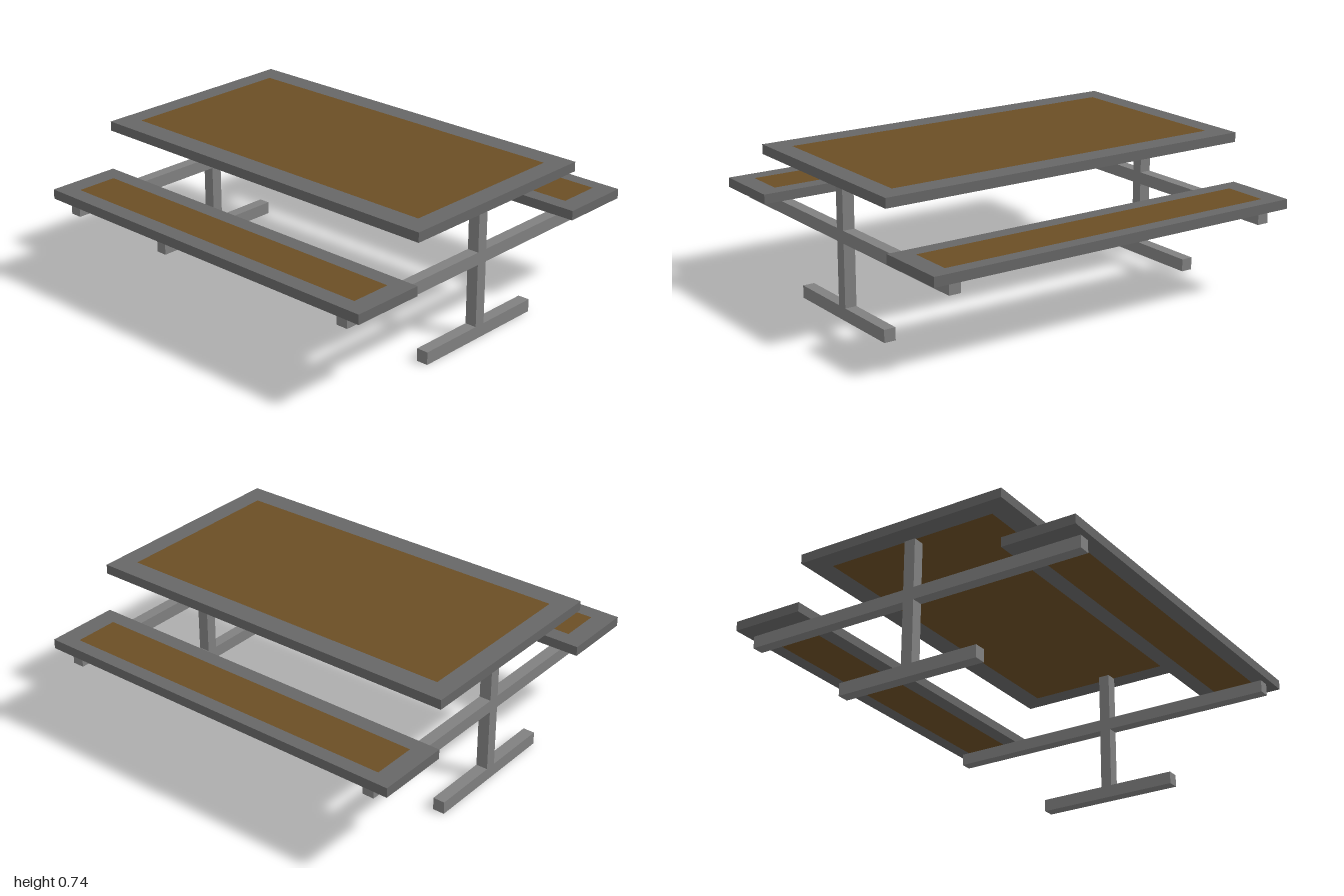
import * as THREE from 'three';

const frameMat = new THREE.MeshStandardMaterial({ color: 0x666666 });
const legMat = new THREE.MeshStandardMaterial({ color: 0x808080 });
const woodMat = new THREE.MeshStandardMaterial({ color: 0x6b4e25 });

// Box given by its min and max corners
function box(name, mat, [x0, y0, z0], [x1, y1, z1]) {
  const mesh = new THREE.Mesh(new THREE.BoxGeometry(x1 - x0, y1 - y0, z1 - z0), mat);
  mesh.position.set((x0 + x1) / 2, (y0 + y1) / 2, (z0 + z1) / 2);
  mesh.name = name;
  return mesh;
}

// Rectangle outline; z maps to -y before the extrusion is laid flat
function rect(Type, hx, z0, z1) {
  return new Type([[-hx, -z1], [hx, -z1], [hx, -z0], [-hx, -z0]].map(([x, y]) => new THREE.Vector2(x, y)));
}

// Flat slab: a rectangular frame with a flush wooden panel in its opening
function slab(name, bottom, top, [z0, z1], [p0, p1]) {
  const group = new THREE.Group();
  group.name = name;
  const shape = rect(THREE.Shape, 1, z0, z1);
  shape.holes.push(rect(THREE.Path, 0.9, p0, p1));
  const geometry = new THREE.ExtrudeGeometry(shape, { depth: top - bottom, bevelEnabled: false });
  geometry.rotateX(-Math.PI / 2).translate(0, bottom, 0);
  const frame = new THREE.Mesh(geometry, frameMat);
  frame.name = name + 'Frame';
  group.add(frame, box(name + 'Panel', woodMat, [-0.9, bottom, p0], [0.9, top, p1]));
  return group;
}

export function createModel() {
  const model = new THREE.Group();
  model.name = 'picnicTable';

  // Table top and the two benches
  model.add(
    slab('tableTop', 0.69, 0.738, [-0.56, 0.56], [-0.45, 0.447]),
    slab('frontBench', 0.44, 0.488, [0.561, 0.936], [0.643, 0.853]),
    slab('backBench', 0.44, 0.488, [-0.936, -0.561], [-0.865, -0.639])
  );

  // Leg at each end: foot, post and the beam carrying the benches
  for (const side of [-1, 1]) {
    const leg = new THREE.Group();
    leg.name = side > 0 ? 'leftLeg' : 'rightLeg';
    const x0 = side * 0.877 - 0.03, x1 = x0 + 0.06;
    leg.add(
      box('foot', legMat, [x0, 0, -0.373], [x1, 0.063, 0.373]),
      box('lowerPost', legMat, [x0, 0.063, -0.029], [x1, 0.378, 0.029]),
      box('benchBeam', legMat, [x0, 0.378, -0.905], [x1, 0.44, 0.905]),
      box('upperPost', legMat, [x0, 0.44, -0.029], [x1, 0.69, 0.029])
    );
    model.add(leg);
  }
  return model;
}
